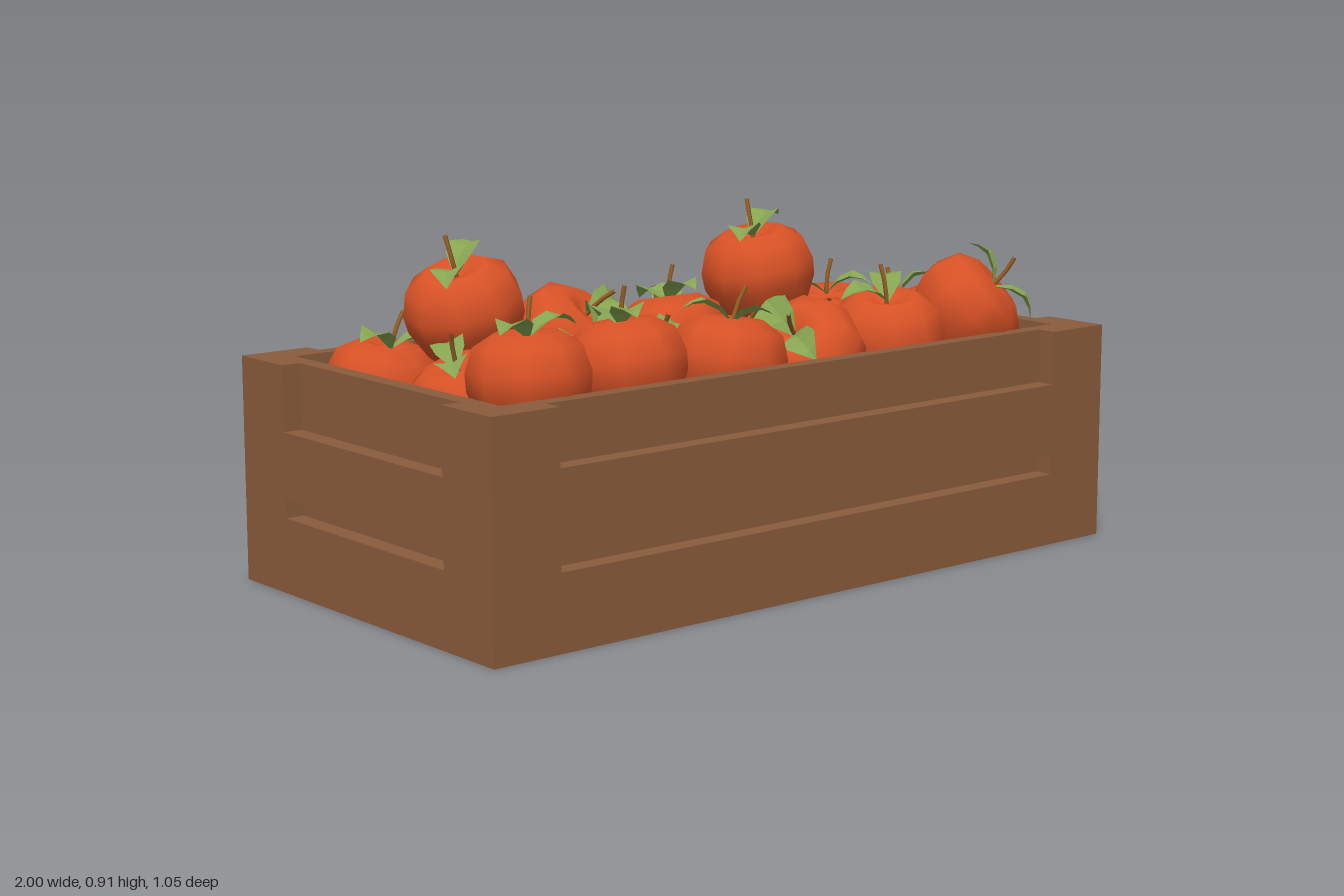
import * as THREE from 'three';

const wood = new THREE.MeshStandardMaterial({ color: 0x8a5b3b });
wood.name = 'crate brown';
const skin = new THREE.MeshStandardMaterial({ color: 0xd85226 });
skin.name = 'fruit orange red';
const green = new THREE.MeshStandardMaterial({ color: 0x86a552, side: THREE.DoubleSide });
green.name = 'leaf green';
const bark = new THREE.MeshStandardMaterial({ color: 0x9a6228 });
bark.name = 'stem brown';

const H = 0.57;

function part(name, geometry, material, parent) {
  const mesh = new THREE.Mesh(geometry, material);
  mesh.name = name;
  parent.add(mesh);
  return mesh;
}

function rect(ShapeClass, x0, y0, x1, y1) {
  const s = new ShapeClass();
  s.moveTo(x0, y0).lineTo(x1, y0).lineTo(x1, y1).lineTo(x0, y1).closePath();
  return s;
}

// Outer board with a wide notch in its top edge and a slot below it
function panelGeometry(half, notchHalf, notchY) {
  const s = new THREE.Shape();
  s.moveTo(-half, 0).lineTo(half, 0).lineTo(half, H).lineTo(notchHalf, H);
  s.lineTo(notchHalf, notchY).lineTo(-notchHalf, notchY).lineTo(-notchHalf, H).lineTo(-half, H).closePath();
  s.holes.push(rect(THREE.Path, -notchHalf, 0.19, notchHalf, 0.24));
  return new THREE.ExtrudeGeometry(s, { depth: 0.05, bevelEnabled: false });
}

function buildCrate() {
  const crate = new THREE.Group();
  crate.name = 'crate';
  // Inner lining behind the boards
  const ring = rect(THREE.Shape, -0.95, -0.473, 0.95, 0.473);
  ring.holes.push(rect(THREE.Path, -0.905, -0.43, 0.905, 0.43));
  const lining = new THREE.ExtrudeGeometry(ring, { depth: H, bevelEnabled: false });
  part('innerWalls', lining.rotateX(-Math.PI / 2), wood, crate);
  // Raised floor the fruit rests on
  part('floor', new THREE.BoxGeometry(1.81, 0.34, 0.86).translate(0, 0.17, 0), wood, crate);
  // Long and short boards, one pair each
  const long = panelGeometry(1, 0.81, 0.43);
  const short = panelGeometry(0.473, 0.335, 0.405);
  ['front', 'right', 'back', 'left'].forEach((name, i) => {
    const isLong = i % 2 === 0;
    const holder = new THREE.Group();
    part(name + 'Board', isLong ? long : short, wood, holder).position.z = isLong ? 0.473 : 0.95;
    holder.name = name + 'Side';
    holder.rotation.y = -i * Math.PI / 2;
    crate.add(holder);
  });
  return crate;
}

// Squat nine-sided fruit with a dimple at the top
const fruitGeometry = new THREE.LatheGeometry([
  [0, -0.115], [0.06, -0.125], [0.115, -0.085], [0.147, -0.01],
  [0.15, 0.035], [0.13, 0.095], [0.08, 0.125], [0.035, 0.115], [0, 0.09],
].map(([r, y]) => new THREE.Vector2(r, y)), 9);

const stemGeometry = new THREE.TubeGeometry(new THREE.QuadraticBezierCurve3(
  new THREE.Vector3(0, 0.085, 0), new THREE.Vector3(0, 0.15, 0), new THREE.Vector3(0.025, 0.205, 0),
), 3, 0.006, 5);

// Arched leaf folded along its vein: length, height, half width
function makeLeaf() {
  const sections = [[0, 0, 0.006], [0.035, 0.028, 0.036], [0.075, 0.042, 0.042], [0.105, 0.036, 0.022], [0.13, 0.022, 0.001]];
  const pos = [];
  const index = [];
  sections.forEach(([x, y, w], i) => {
    pos.push(x, y + w * 0.3, w, x, y, 0, x, y + w * 0.3, -w);
    if (i === 0) return;
    for (let k = 0; k < 2; k++) {
      const a = (i - 1) * 3 + k;
      const b = i * 3 + k;
      index.push(a, b, b + 1, a, b + 1, a + 1);
    }
  });
  const g = new THREE.BufferGeometry();
  g.setAttribute('position', new THREE.Float32BufferAttribute(pos, 3));
  g.setIndex(index);
  const flat = g.toNonIndexed();
  flat.computeVertexNormals();
  return flat;
}
const leafGeometry = makeLeaf();

// Fruit by layer: x, z, top height, lean in x, lean in z, two leaf angles in degrees
const layers = {
  backFruit: [
    [-0.76, -0.26, 0.61, 0.15, 0.1, 200, -25],
    [-0.43, -0.24, 0.61, 0, 0.3, 120, 300],
    [-0.13, -0.26, 0.6, -0.5, 0.15, 85, 230],
    [0.14, -0.26, 0.6, -0.3, 0.2, 220, 30],
    [0.42, -0.25, 0.6, 0.35, 0.25, 245, 50],
    [0.73, -0.25, 0.61, -0.1, 0, 150, -50],
  ],
  middleFruit: [
    [-0.73, 0.07, 0.61, -0.35, -0.05, 60, 235],
    [-0.43, 0.1, 0.6, 0.1, 0.2, 150, 320],
    [-0.2, 0.08, 0.61, 0.1, 0.3, 30, 200],
    [0.1, 0.06, 0.6, 0.1, 0.3, 0, 230],
    [0.45, 0.04, 0.61, -0.5, 0.4, 190, 270],
    [0.74, 0.08, 0.63, -0.3, -0.4, 145, -40],
  ],
  frontFruit: [
    [-0.72, 0.29, 0.7, 0, -0.05, 205, -8],
    [-0.43, 0.29, 0.7, -0.05, -0.15, 75, 250],
    [-0.1, 0.27, 0.67, 0.15, 0, 150, -65],
    [0.19, 0.26, 0.66, -1.1, 0.35, 70, 250],
    [0.44, 0.28, 0.68, -0.15, 0.15, 160, 50],
    [0.7, 0.29, 0.73, 0.8, 0.85, 315, 120],
  ],
  topFruit: [
    [-0.62, -0.1, 0.81, -0.35, 0.1, 225, 25],
    [-0.35, -0.07, 0.71, 0.4, 0.7, 20, 240],
    [-0.02, -0.03, 0.68, 0, -0.2, 85, 265],
    [0.28, -0.04, 0.83, -0.2, 0, 215, 15],
  ],
};

function buildFruit([x, z, top, leanX, leanZ, ...leafAngles]) {
  const fruit = new THREE.Group();
  fruit.name = 'fruit';
  part('fruitBody', fruitGeometry, skin, fruit);
  part('stem', stemGeometry, bark, fruit).rotation.y = THREE.MathUtils.degToRad(leafAngles[1] + 40);
  for (const angle of leafAngles) {
    const leaf = part('leaf', leafGeometry, green, fruit);
    leaf.position.y = 0.11;
    leaf.rotation.y = THREE.MathUtils.degToRad(angle);
  }
  fruit.position.set(x, top - 0.125, z);
  fruit.quaternion.setFromUnitVectors(new THREE.Vector3(0, 1, 0), new THREE.Vector3(leanX, 1, leanZ).normalize());
  return fruit;
}

export function createModel() {
  const model = new THREE.Group();
  model.name = 'fruitCrate';
  model.add(buildCrate());
  for (const [name, list] of Object.entries(layers)) {
    const layer = new THREE.Group();
    layer.name = name;
    list.forEach((spec) => layer.add(buildFruit(spec)));
    model.add(layer);
  }
  return model;
}
